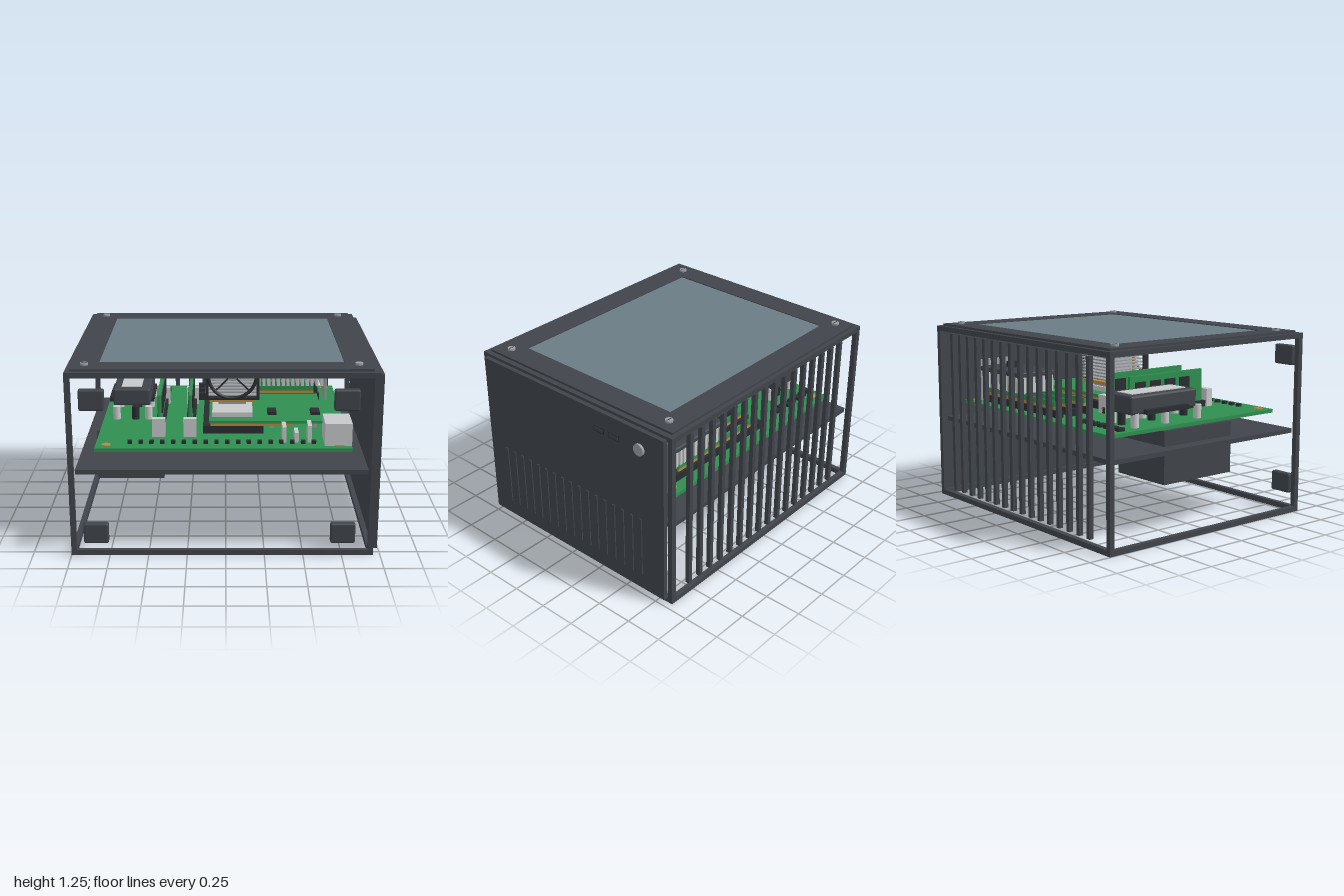
import * as THREE from 'three';
import { RoundedBoxGeometry } from 'three/addons/geometries/RoundedBoxGeometry.js';

const mat = (name, color) => {
  const m = new THREE.MeshStandardMaterial({ color });
  m.name = name;
  return m;
};

export function createModel() {
  const root = new THREE.Group();
  const charcoal = mat('charcoal', 0x40454b);
  const black = mat('black', 0x2a2d31);
  const glass = mat('screenGlass', 0x6b7c85);
  const silver = mat('silver', 0x9a9ea2);
  const pale = mat('paleMetal', 0xc6c8c9);
  const green = mat('boardGreen', 0x2f8f50);
  const brass = mat('brass', 0xb88a3e);

  const group = (name) => {
    const g = new THREE.Group();
    g.name = name;
    root.add(g);
    return g;
  };
  const add = (parent, name, geo, m, x = 0, y = 0, z = 0) => {
    const mesh = new THREE.Mesh(geo, m);
    mesh.name = name;
    mesh.position.set(x, y, z);
    parent.add(mesh);
    return mesh;
  };
  // Box given by its limits on each axis
  const box = (parent, name, m, x0, x1, y0, y1, z0, z1, r = 0) => {
    const s = [x1 - x0, y1 - y0, z1 - z0];
    const geo = r ? new RoundedBoxGeometry(...s, 2, r) : new THREE.BoxGeometry(...s);
    return add(parent, name, geo, m, (x0 + x1) / 2, (y0 + y1) / 2, (z0 + z1) / 2);
  };
  const cyl = (parent, name, m, r, h, x, y, z, axis = 'y', n = 24) => {
    const geo = new THREE.CylinderGeometry(r, r, h, n);
    if (axis === 'x') geo.rotateZ(Math.PI / 2);
    if (axis === 'z') geo.rotateX(Math.PI / 2);
    return add(parent, name, geo, m, x, y, z);
  };
  // Rectangular ring lying in the xz plane
  const ring = (x0, x1, z0, z1, ix0, ix1, iz0, iz1, h) => {
    const rect = (C, a, b, c, d) => {
      const p = new C();
      p.moveTo(a, -d).lineTo(b, -d).lineTo(b, -c).lineTo(a, -c).closePath();
      return p;
    };
    const s = rect(THREE.Shape, x0, x1, z0, z1);
    s.holes.push(rect(THREE.Path, ix0, ix1, iz0, iz1));
    return new THREE.ExtrudeGeometry(s, { depth: h, bevelEnabled: false }).rotateX(-Math.PI / 2);
  };

  // Open frame: two rings and four posts
  const frame = group('frame');
  for (const y of [0, 1.19])
    add(frame, 'frameRing', ring(-1, 0.955, -0.85, 0.8, -0.965, 0.92, -0.815, 0.765, 0.035), charcoal, 0, y, 0);
  for (const x of [-1, 0.92])
    for (const z of [-0.85, 0.765]) box(frame, 'cornerPost', charcoal, x, x + 0.035, 0.03, 1.2, z, z + 0.035);

  // Top lid with screen and screws
  const lid = group('lid');
  add(lid, 'screenBezel', ring(-0.965, 0.92, -0.82, 0.765, -0.8, 0.75, -0.655, 0.595, 0.04), charcoal, 0, 1.2, 0);
  box(lid, 'screen', glass, -0.8, 0.75, 1.228, 1.235, -0.655, 0.595);
  box(lid, 'screenBack', black, -0.8, 0.75, 1.2, 1.228, -0.655, 0.595);
  for (const x of [-0.885, 0.835])
    for (const z of [-0.72, 0.66]) {
      cyl(lid, 'screw', silver, 0.025, 0.014, x, 1.247, z);
      box(lid, 'screwSlot', black, x - 0.02, x + 0.02, 1.252, 1.255, z - 0.003, z + 0.003);
    }

  // Left side panel with louvres, two ports and a button
  const side = group('sidePanel');
  box(side, 'panel', charcoal, 0.955, 0.985, 0.03, 1.205, -0.81, 0.76);
  for (let i = 0; i < 17; i++) {
    const z = 0.605 - i * 0.0766;
    box(side, 'louvre', charcoal, 0.984, 0.993, 0.14, 0.57, z - 0.01, z + 0.01);
  }
  for (const z of [-0.288, -0.412]) {
    box(side, 'portRim', black, 0.984, 0.99, 1.058, 1.096, z - 0.043, z + 0.043);
    box(side, 'port', charcoal, 0.985, 0.992, 1.064, 1.09, z - 0.037, z + 0.037);
  }
  cyl(side, 'powerButton', silver, 0.04, 0.016, 0.992, 1.075, -0.62, 'x');

  // Back grille
  const grille = group('backGrille');
  for (let i = 0; i < 16; i++) {
    const x = -0.782 + i * 0.1036;
    box(grille, 'grilleBar', charcoal, x - 0.015, x + 0.015, 0.06, 1.18, -0.845, -0.815);
  }

  // Front feet
  const feet = group('feet');
  for (const x of [-0.91, 0.67])
    for (const y of [0.105, 0.995]) box(feet, 'foot', charcoal, x, x + 0.16, y, y + 0.135, 0.8, 0.85, 0.012);

  // Tray and power supply below it
  box(root, 'tray', charcoal, -0.96, 0.91, 0.545, 0.575, -0.81, 0.76);
  const psu = group('powerSupply');
  box(psu, 'psuBody', charcoal, -0.87, -0.42, 0.33, 0.57, -0.31, 0.27);
  box(psu, 'psuTop', charcoal, -0.87, -0.42, 0.57, 0.674, -0.31, 0.27);
  box(psu, 'psuFace', charcoal, -0.83, -0.46, 0.38, 0.575, 0.27, 0.278);
  box(psu, 'psuLabel', silver, -0.83, -0.46, 0.324, 0.331, -0.07, 0.03);
  for (const x of [-0.785, -0.648, -0.51]) {
    box(psu, 'socketRim', silver, x - 0.04, x + 0.04, 0.44, 0.505, 0.277, 0.285);
    box(psu, 'socket', black, x - 0.027, x + 0.027, 0.452, 0.492, 0.284, 0.288);
  }

  // Main board with edge pins and mounting holes
  const board = group('mainBoard');
  box(board, 'board', green, -0.84, 0.81, 0.674, 0.698, -0.73, 0.7);
  for (let i = 0; i < 18; i++) {
    const x = -0.62 + i * 0.07;
    box(board, 'edgeChip', black, x - 0.014, x + 0.014, 0.698, 0.718, 0.58, 0.61);
  }
  for (const x of [-0.77, 0.74])
    for (const z of [-0.66, 0.63]) cyl(board, 'mountRing', brass, 0.03, 0.006, x, 0.7, z);

  // Memory sticks with end clips
  const memory = group('memory');
  for (const x of [-0.44, -0.235]) {
    box(memory, 'memorySlot', black, x - 0.03, x + 0.03, 0.698, 0.74, -0.3, 0.46);
    box(memory, 'memoryStick', green, x - 0.011, x + 0.011, 0.74, 0.96, -0.24, 0.4);
    for (let z = -0.2; z < 0.3; z += 0.13) box(memory, 'memoryChip', black, x - 0.018, x + 0.018, 0.8, 0.92, z, z + 0.09);
    for (const z of [-0.3, 0.42]) box(memory, 'slotClip', pale, x - 0.043, x + 0.043, 0.698, 0.82, z, z + 0.05);
  }

  // Regulator block and capacitors
  const power = group('regulator');
  box(power, 'regulatorBlock', charcoal, -0.775, -0.52, 0.78, 0.9, -0.5, 0.05, 0.015);
  box(power, 'regulatorPlate', pale, -0.72, -0.58, 0.898, 0.905, -0.45, 0);
  box(power, 'regulatorFlange', black, -0.81, -0.5, 0.78, 0.81, -0.4, -0.05);
  for (const x of [-0.75, -0.62, -0.53])
    for (const z of [-0.45, -0.2, 0.08]) cyl(power, 'capacitor', x < -0.6 && x > -0.7 ? black : pale, 0.026, 0.09, x, 0.743, z);
  for (let i = 0; i < 7; i++) box(power, 'smallChip', black, -0.8 + i * 0.06, -0.765 + i * 0.06, 0.698, 0.72, -0.62, -0.57);

  // Processor socket and tower cooler
  const cooler = group('cooler');
  box(cooler, 'socketBase', black, -0.15, 0.25, 0.698, 0.75, -0.22, 0.4);
  box(cooler, 'socketBoard', green, -0.11, 0.65, 0.772, 0.792, -0.2, 0.42);
  box(cooler, 'socketTrim', brass, -0.1, 0.45, 0.75, 0.772, -0.18, 0.4);
  box(cooler, 'heatSpreader', pale, -0.09, 0.18, 0.792, 0.825, -0.1, 0.34);
  box(cooler, 'coolerBase', brass, -0.11, 0.2, 0.845, 0.865, -0.12, 0.17);
  box(cooler, 'coolerStem', silver, -0.05, 0.14, 0.825, 0.845, -0.08, 0.15);
  for (let i = 0; i < 15; i++) box(cooler, 'coolerFin', silver, -0.12, 0.21, 0.88 + i * 0.022, 0.889 + i * 0.022, -0.14, 0.15);
  for (const x of [-0.08, 0, 0.09, 0.17])
    for (const z of [-0.08, 0.1]) cyl(cooler, 'heatPipe', brass, 0.011, 0.34, x, 1.03, z, 'y', 10);
  for (const x of [-0.135, 0.21]) box(cooler, 'fanRail', black, x, x + 0.018, 0.865, 1.195, 0.15, 0.19);
  for (const y of [0.865, 1.18]) box(cooler, 'fanRail', black, -0.135, 0.228, y, y + 0.015, 0.15, 0.19);
  add(cooler, 'fanRing', new THREE.TorusGeometry(0.163, 0.012, 8, 40), black, 0.045, 1.04, 0.19);
  cyl(cooler, 'fanHub', silver, 0.037, 0.04, 0.045, 1.04, 0.19, 'z');
  for (let i = 0; i < 4; i++) {
    const a = Math.PI / 4 + (i * Math.PI) / 2;
    const arm = add(cooler, 'fanArm', new THREE.BoxGeometry(0.13, 0.01, 0.01), black,
      0.045 + Math.cos(a) * 0.1, 1.04 + Math.sin(a) * 0.1, 0.175);
    arm.rotation.z = a;
  }

  // Expansion slots with finned card at the rear
  const cards = group('expansionCards');
  for (const z of [-0.62, -0.5, -0.38]) {
    box(cards, 'cardSlot', black, -0.2, 0.68, 0.698, 0.745, z - 0.025, z + 0.025);
    box(cards, 'cardContacts', brass, -0.15, 0.64, 0.745, 0.765, z - 0.008, z + 0.008);
    box(cards, 'card', green, -0.15, 0.64, 0.765, 0.8, z - 0.008, z + 0.008);
  }
  for (let i = 0; i < 14; i++) box(cards, 'cardFin', pale, 0.235 + i * 0.035, 0.255 + i * 0.035, 0.8, 0.915, -0.64, -0.36);
  box(cards, 'cardCap', charcoal, 0.23, 0.715, 0.91, 0.945, -0.65, -0.35, 0.01);
  box(cards, 'cardPlug', black, 0.49, 0.56, 0.945, 0.985, -0.53, -0.47);
  box(cards, 'cardBracket', silver, 0.72, 0.735, 0.698, 0.99, -0.64, -0.36);

  // Connectors at the front right corner of the board
  const ports = group('connectors');
  box(ports, 'jackBlock', pale, 0.635, 0.81, 0.7, 0.85, 0.44, 0.66);
  box(ports, 'jackTrim', brass, 0.7, 0.76, 0.698, 0.706, 0.66, 0.664);
  for (const [x, h] of [[0.38, 0.1], [0.46, 0.06], [0.545, 0.11]])
    box(ports, 'connector', pale, x - 0.013, x + 0.013, 0.698, 0.7 + h, 0.46, 0.58);
  for (const x of [0.31, 0.6]) {
    box(ports, 'header', black, x - 0.03, x + 0.03, 0.77, 0.815, 0.2, 0.3);
    box(ports, 'headerStand', silver, x - 0.015, x + 0.015, 0.698, 0.77, 0.22, 0.28);
  }
  return root;
}
